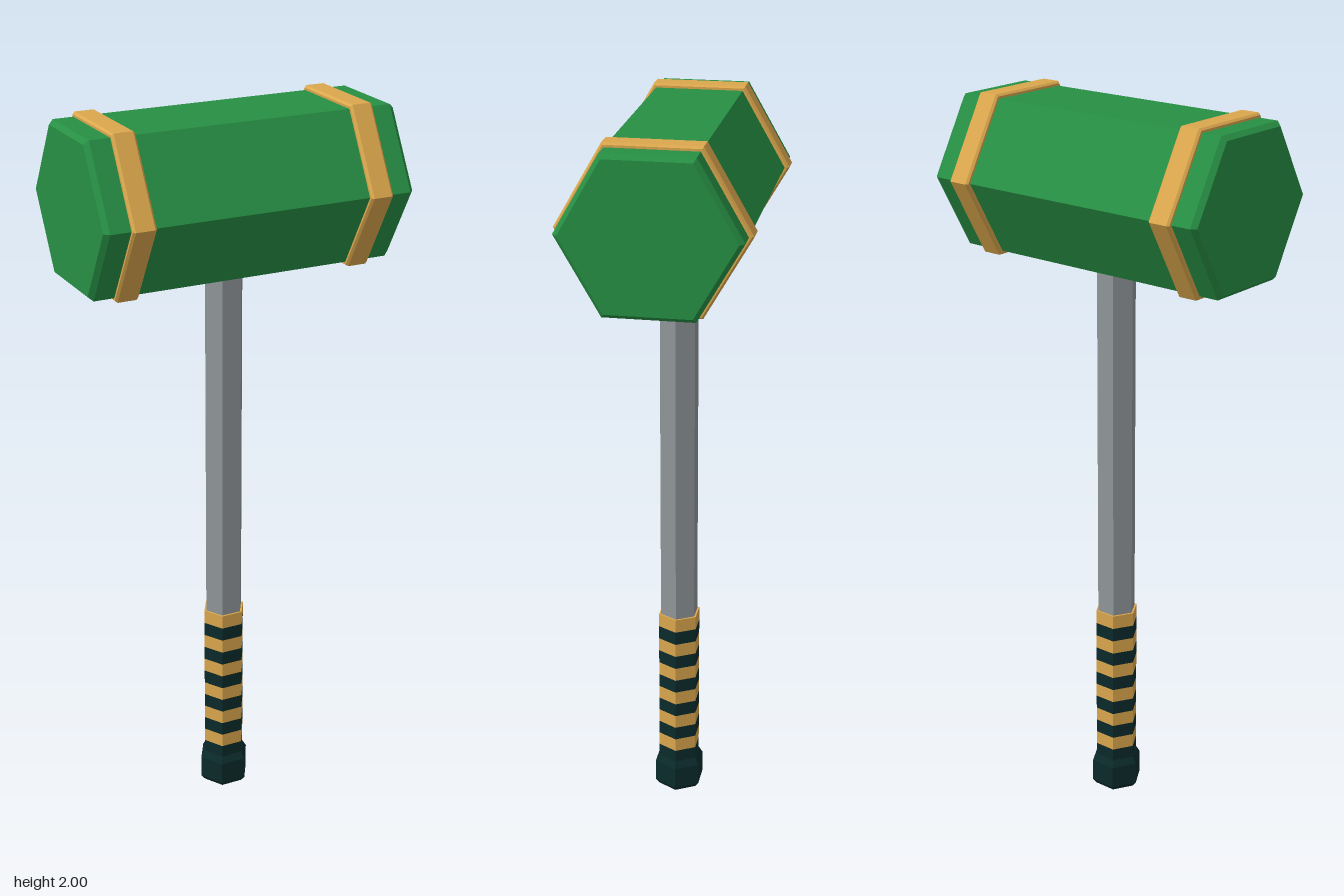
import * as THREE from 'three';

const flat = (name, color) => {
  const m = new THREE.MeshStandardMaterial({ color, flatShading: true });
  m.name = name;
  return m;
};

export function createModel() {
  const green = flat('green', 0x278f44);
  const gold = flat('gold', 0xdba74d);
  const steel = flat('steel grey', 0x8f9598);
  const dark = flat('dark teal', 0x0b2a2b);

  const model = new THREE.Group();
  model.name = 'warHammer';

  // Six-sided lathe from [radius, height] pairs, listed bottom to top
  const hex = (name, profile, material, parent, phi = Math.PI / 2) => {
    const points = profile.map(([r, y]) => new THREE.Vector2(r, y));
    const mesh = new THREE.Mesh(new THREE.LatheGeometry(points, 6, phi), material);
    mesh.name = name;
    parent.add(mesh);
    return mesh;
  };

  // Prism with chamfered rims
  const chamfered = (r, half, c, inner = 0) => [
    [inner, -half], [r - c, -half], [r, -half + c],
    [r, half - c], [r - c, half], [inner, half],
  ];

  // Head lies along x, with a corner pointing to the front and back
  const head = new THREE.Group();
  head.name = 'head';
  head.position.y = 1.784;
  head.rotation.z = -Math.PI / 2;
  model.add(head);
  hex('headBlock', chamfered(0.236, 0.433, 0.013), green, head, 0);
  for (const side of [-1, 1]) {
    const band = hex(side > 0 ? 'leftBand' : 'rightBand',
      chamfered(0.249, 0.032, 0.006, 0.22), gold, head, 0);
    band.position.y = side * 0.332;
  }

  // Shaft runs up into the head
  hex('shaft', [[0, 0.5], [0.055, 0.5], [0.055, 1.65], [0, 1.65]], steel, model);

  // Striped grip, gold at the top
  const grip = new THREE.Group();
  grip.name = 'grip';
  model.add(grip);
  const stripes = 12, low = 0.094, step = 0.039;
  for (let i = 0; i < stripes; i++) {
    const y = low + i * step;
    const profile = [[0.061, y], [0.061, y + step]];
    if (i === stripes - 1) profile.push([0.05, y + step]); // closing rim
    hex('gripStripe', profile, i % 2 ? gold : dark, grip);
  }

  // Pommel
  hex('pommel', [
    [0, 0], [0.062, 0], [0.073, 0.014], [0.073, 0.078], [0.062, 0.097], [0, 0.097],
  ], dark, model);

  return model;
}
